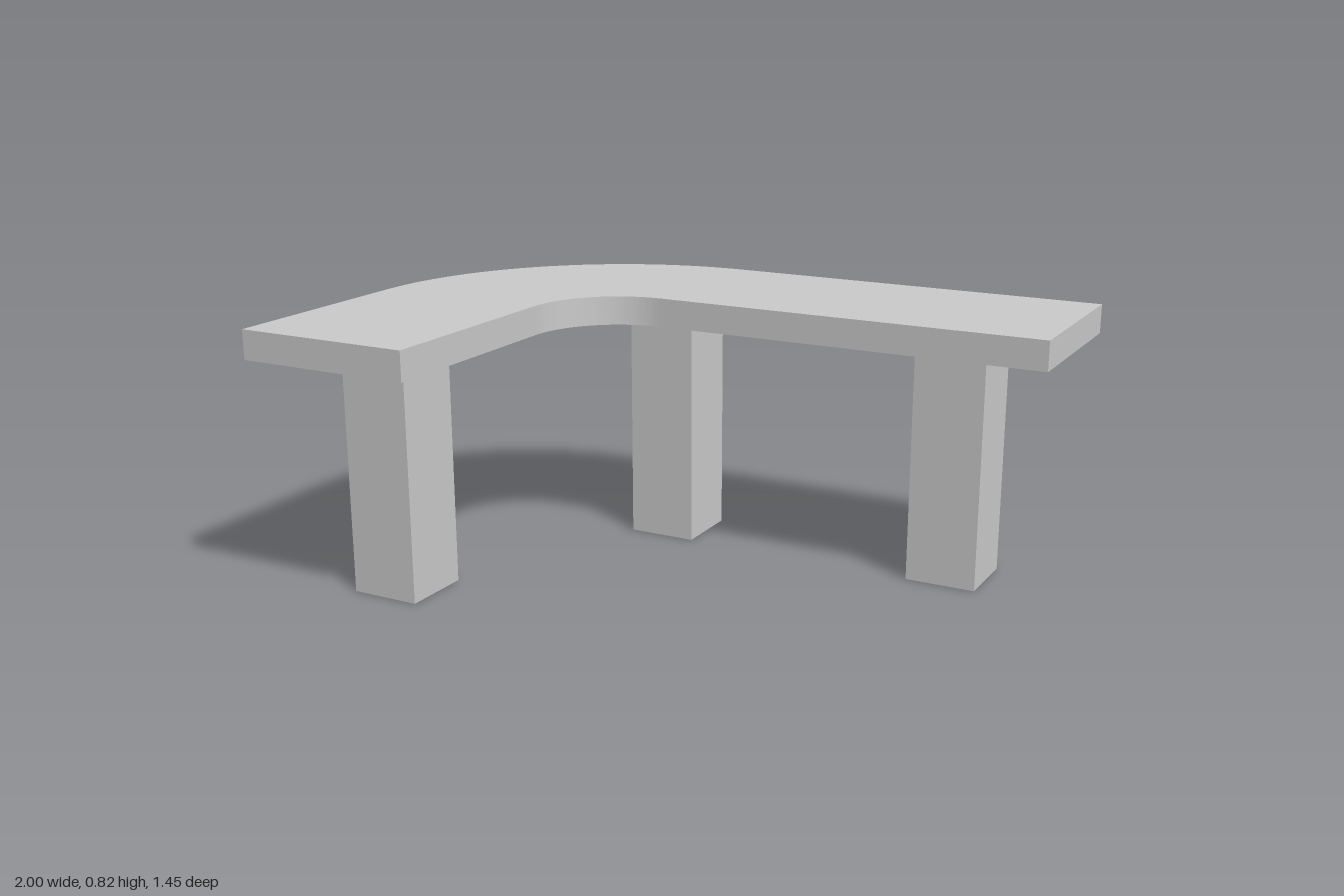
import * as THREE from 'three';
import { toCreasedNormals } from 'three/addons/utils/BufferGeometryUtils.js';

export function createModel() {
  const model = new THREE.Group();
  const material = new THREE.MeshStandardMaterial({ color: 0xcccccc });
  const legHeight = 0.73, legWidth = 0.215, slab = 0.087;

  // L-shaped seat with a quarter-round bend, drawn with shape y = -z
  const cx = -0.19, cy = -0.085, outer = 0.81, inner = 0.27, endZ = 0.725;
  const outline = new THREE.Shape();
  outline.moveTo(cx - outer, -endZ);
  outline.lineTo(cx - inner, -endZ);
  outline.lineTo(cx - inner, cy);
  outline.absarc(cx, cy, inner, Math.PI, Math.PI / 2, true);
  outline.lineTo(1, cy + inner);
  outline.lineTo(1, cy + outer);
  outline.lineTo(cx, cy + outer);
  outline.absarc(cx, cy, outer, Math.PI / 2, Math.PI, false);
  outline.closePath();
  const seatGeometry = new THREE.ExtrudeGeometry(outline, { depth: slab, bevelEnabled: false, curveSegments: 32 });
  seatGeometry.rotateX(-Math.PI / 2);
  const seat = new THREE.Mesh(toCreasedNormals(seatGeometry, Math.PI / 6), material);
  seat.name = 'seat';
  seat.position.y = legHeight;
  model.add(seat);

  // Three square legs: one under each arm and one under the bend
  const legGeometry = new THREE.BoxGeometry(legWidth, legHeight, legWidth);
  const legs = [
    ['frontLeg', -0.73, 0.403],
    ['cornerLeg', -0.277, -0.455],
    ['sideLeg', 0.67, -0.455],
  ];
  for (const [name, x, z] of legs) {
    const leg = new THREE.Mesh(legGeometry, material);
    leg.name = name;
    leg.position.set(x, legHeight / 2, z);
    model.add(leg);
  }
  return model;
}
